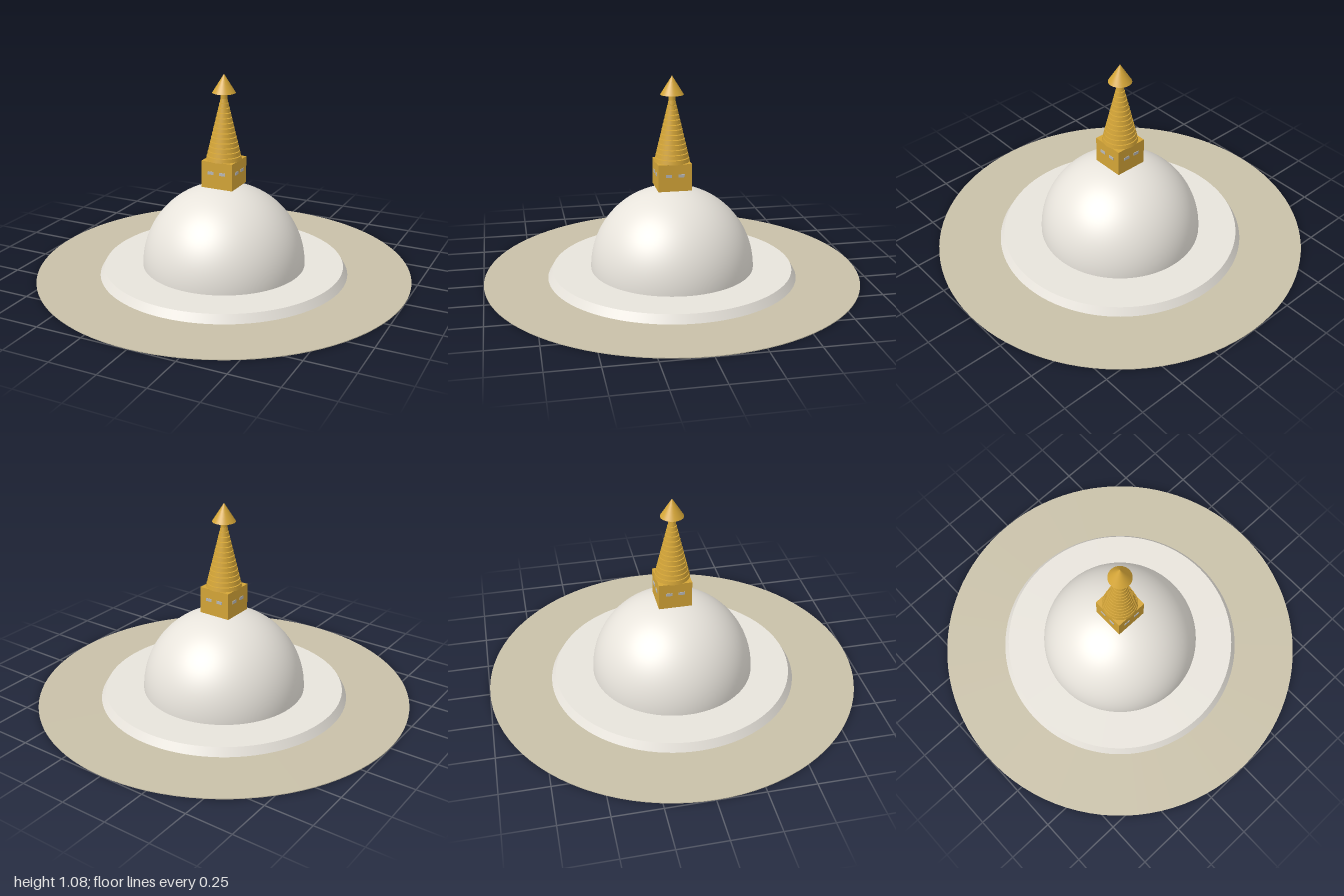
import * as THREE from 'three';

export function createModel() {
  const model = new THREE.Group();
  const material = (name, color) => {
    const m = new THREE.MeshStandardMaterial({ color });
    m.name = name;
    return m;
  };
  const sand = material('sand', 0xc8c0a8);
  const white = material('whitewash', 0xe8e4dc);
  const gold = material('gold', 0xd4a537);
  const grey = material('eye grey', 0xb8b8b8);

  const add = (name, geometry, mat, y = 0, parent = model) => {
    const mesh = new THREE.Mesh(geometry, mat);
    mesh.name = name;
    mesh.position.y = y;
    parent.add(mesh);
    return mesh;
  };

  // Ground disc, sloped plinth and hemispherical dome
  add('ground', new THREE.CylinderGeometry(1, 1, 0.004, 96), sand, 0.002);
  add('plinth', new THREE.CylinderGeometry(0.64, 0.665, 0.043, 96), white, 0.0245);
  add('dome', new THREE.SphereGeometry(0.435, 96, 32, 0, Math.PI * 2, 0, Math.PI / 2), white, 0.046);

  // Square tower block with a pair of eyes on each side
  const half = 0.088;
  add('towerBlock', new THREE.BoxGeometry(half * 2, 0.143, half * 2), gold, 0.5555);
  for (let side = 0; side < 4; side++) {
    const face = new THREE.Group();
    face.name = 'eyePair';
    face.rotation.y = side * Math.PI / 2;
    for (const x of [-0.033, 0.033]) {
      const eye = add('eye', new THREE.BoxGeometry(0.033, 0.016, 0.004), grey, 0.567, face);
      eye.position.x = x;
      eye.position.z = half + 0.001;
    }
    model.add(face);
  }

  // Spire of thirteen shrinking rings around a core
  const rings = 13, pitch = 0.0252;
  for (let i = 0; i < rings; i++) {
    const r = 0.094 - i * 0.006;
    add('spireRing', new THREE.CylinderGeometry(r - 0.004, r, 0.021, 48), gold, 0.636 + i * pitch);
  }
  add('spireCore', new THREE.CylinderGeometry(0.017, 0.017, 0.36, 24), gold, 0.80);

  // Pointed canopy
  add('canopy', new THREE.ConeGeometry(0.061, 0.098, 48), gold, 1.027);

  return model;
}
